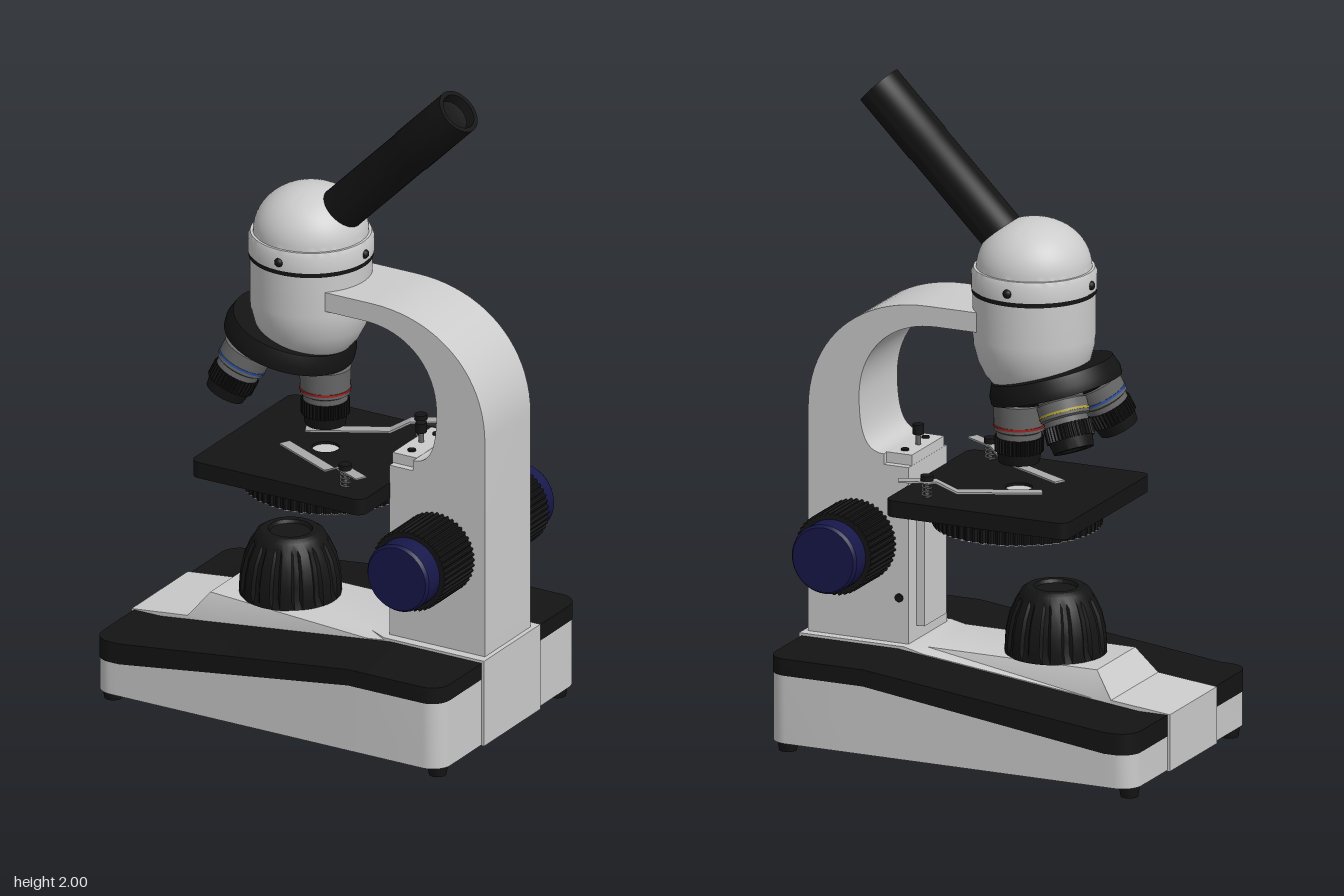
import * as THREE from 'three';
import { toCreasedNormals } from 'three/addons/utils/BufferGeometryUtils.js';

const mat = (color, side = THREE.FrontSide) => new THREE.MeshStandardMaterial({ color, side });
const GREY = mat(0xcccccc), BLACK = mat(0x141414), BLUE = mat(0x17174a), STEEL = mat(0x666666);
const CLIP = mat(0xaaaaaa, THREE.DoubleSide);

export function createModel() {
  const model = new THREE.Group();

  const add = (name, geo, material, x = 0, y = 0, z = 0, parent = model) => {
    const mesh = new THREE.Mesh(geo, material);
    mesh.name = name;
    mesh.position.set(x, y, z);
    parent.add(mesh);
    return mesh;
  };
  const box = (w, h, d) => new THREE.BoxGeometry(w, h, d);
  const cyl = (r, h, n = 24) => new THREE.CylinderGeometry(r, r, h, n);
  // profile given from bottom to top as [radius, height]
  const lathe = (pts, n = 48) =>
    toCreasedNormals(new THREE.LatheGeometry(pts.map(p => new THREE.Vector2(...p)), n), 0.6);
  const extrude = (shape, depth, curveSegments = 20) =>
    new THREE.ExtrudeGeometry(shape, { depth, bevelEnabled: false, curveSegments });
  const circleHole = (shape, r, x = 0) =>
    shape.holes.push(new THREE.Path().absarc(x, 0, r, 0, Math.PI * 2, true));
  // ribbed disc with its axis on z
  const ribbed = (r, depth, teeth, hole = 0) => {
    const pts = [];
    for (let i = 0; i < teeth * 4; i++) {
      const a = (i / (teeth * 4)) * Math.PI * 2, q = i % 4 < 2 ? r : r - 0.006;
      pts.push(new THREE.Vector2(Math.cos(a) * q, Math.sin(a) * q));
    }
    const shape = new THREE.Shape(pts);
    if (hole) circleHole(shape, hole);
    return extrude(shape, depth);
  };
  // skin over cross-sections { x, pts: [[z, y], ...] } running along +x
  const loft = sections => {
    const pos = [], n = sections[0].pts.length;
    const P = (i, j) => [sections[i].x, sections[i].pts[j % n][1], sections[i].pts[j % n][0]];
    const last = sections.length - 1;
    for (let i = 0; i < last; i++) for (let j = 0; j < n; j++) {
      const a = P(i, j), b = P(i, j + 1), c = P(i + 1, j + 1), d = P(i + 1, j);
      pos.push(...a, ...b, ...c, ...a, ...c, ...d);
    }
    for (let j = 1; j < n - 1; j++) {
      pos.push(...P(last, 0), ...P(last, j), ...P(last, j + 1));
      pos.push(...P(0, 0), ...P(0, j + 1), ...P(0, j));
    }
    const geo = new THREE.BufferGeometry();
    geo.setAttribute('position', new THREE.Float32BufferAttribute(pos, 3));
    return toCreasedNormals(geo, 0.5);
  };

  // Base: rounded footprint with a sloping black cover
  const R = 0.06, X = 0.592, xs = [-0.5, 0.28];
  for (let i = 0; i <= 8; i++) {
    const d = R * Math.cos((i / 8) * Math.PI / 2);
    xs.push(-X + R - d, X - R + d);
  }
  xs.sort((a, b) => a - b);
  const halfWidth = x => {
    const d = Math.max(0, Math.abs(x) - (X - R));
    return 0.4 - R + Math.sqrt(Math.max(0, R * R - d * d));
  };
  const slope = (x, lo, hi) => lo + (hi - lo) * THREE.MathUtils.clamp((x + 0.5) / 0.78, 0, 1);
  const coverTop = x => slope(x, 0.203, 0.294), coverLow = x => slope(x, 0.138, 0.243);
  const slab = (lo, hi, inset) => loft(xs.map(x => {
    const w = halfWidth(x) - inset;
    return { x, pts: [[w, lo(x)], [-w, lo(x)], [-w, hi(x)], [w, hi(x)]] };
  }));
  add('baseBody', slab(() => 0.035, coverLow, 0.003), GREY);
  add('baseCover', slab(coverLow, coverTop, 0), BLACK);
  // Centre strip rising into a bevelled platform: x, top height, top half width
  add('basePlatform', loft([
    [-0.6, 0.205, 0.16], [-0.41, 0.225, 0.16], [-0.35, 0.302, 0.13], [0.2, 0.302, 0.13],
    [0.26, 0.302, 0.16], [0.6, 0.302, 0.16],
  ].map(([x, y, w]) => ({
    x, pts: [[0.16, 0.032], [-0.16, 0.032], [-0.16, Math.min(y, coverTop(x) + 0.003)],
      [-w, y], [w, y], [0.16, Math.min(y, coverTop(x) + 0.003)]],
  }))), GREY);
  for (const x of [-0.555, 0.55]) for (const z of [-0.34, 0.34])
    add('foot', lathe([[0, 0], [0.026, 0], [0.031, 0.03], [0.031, 0.04], [0, 0.04]], 20), BLACK, x, 0, z);

  // Lamp housing with flutes around its side
  const lamp = new THREE.LatheGeometry([[0.15, 0], [0.15, 0.03], [0.147, 0.07], [0.136, 0.12], [0.118, 0.16],
    [0.108, 0.175], [0.1, 0.19], [0.085, 0.2], [0.065, 0.2], [0.06, 0.19], [0, 0.19]]
    .map(p => new THREE.Vector2(...p)), 112);
  const lp = lamp.attributes.position;
  for (let i = 0; i < lp.count; i++) {
    const x = lp.getX(i), y = lp.getY(i), z = lp.getZ(i);
    const inFlute = y > 0.01 && y < 0.165 && Math.cos(Math.atan2(z, x) * 14) > 0.1;
    const k = inFlute ? 0.94 : 1;
    lp.setXYZ(i, x * k, y, z * k);
  }
  add('lampHousing', toCreasedNormals(lamp, 0.5), BLACK, -0.155, 0.3, 0);

  // Curved arm and column
  const arm = new THREE.Shape();
  arm.moveTo(0.26, 0.29);
  arm.lineTo(0.585, 0.29);
  arm.lineTo(0.585, 0.98);
  arm.bezierCurveTo(0.585, 1.2, 0.42, 1.34, 0.2, 1.34);
  arm.lineTo(0.04, 1.34);
  arm.lineTo(0.04, 1.28);
  arm.lineTo(0.17, 1.28);
  arm.bezierCurveTo(0.33, 1.28, 0.42, 1.17, 0.42, 1.04);
  arm.bezierCurveTo(0.42, 0.93, 0.4, 0.872, 0.34, 0.872);
  arm.lineTo(0.34, 0.84);
  arm.lineTo(0.26, 0.84);
  add('arm', toCreasedNormals(extrude(arm, 0.26), 0.4), GREY, 0, 0, -0.13);
  add('focusRail', box(0.03, 0.38, 0.15), GREY, 0.25, 0.535, 0);
  add('columnTopPlate', box(0.082, 0.032, 0.22), GREY, 0.3, 0.857, 0);
  for (const z of [-0.07, 0.07]) add('plateScrew', cyl(0.012, 0.006, 16), BLACK, 0.3, 0.875, z);
  add('stopScrewShaft', cyl(0.008, 0.05, 12), STEEL, 0.29, 0.89, 0);
  add('stopScrewHead', cyl(0.017, 0.03, 20), BLACK, 0.29, 0.92, 0);

  // Focus knobs, mirrored to both sides
  for (const s of [1, -1]) {
    const knob = new THREE.Group();
    knob.name = 'focusKnob';
    knob.position.set(0.425, 0.6, 0);
    if (s < 0) knob.rotation.y = Math.PI;
    add('coarseKnob', ribbed(0.125, 0.17, 44), BLACK, 0, 0, 0.125, knob);
    add('fineKnob', lathe([[0.105, 0], [0.105, 0.06], [0.098, 0.07], [0, 0.07]]), BLUE, 0, 0, 0.295, knob)
      .rotation.x = Math.PI / 2;
    model.add(knob);
    add('columnScrew', cyl(0.013, 0.01, 16), BLACK, 0.29, 0.44, s * 0.13).rotation.x = Math.PI / 2;
  }

  // Stage with a light hole, glass and the ribbed disc below
  const stage = new THREE.Shape(), sx0 = -0.325, sx1 = 0.262, sz = 0.29, sr = 0.03;
  stage.absarc(sx1 - sr, sz - sr, sr, 0, Math.PI / 2);
  stage.absarc(sx0 + sr, sz - sr, sr, Math.PI / 2, Math.PI);
  stage.absarc(sx0 + sr, -sz + sr, sr, Math.PI, Math.PI * 1.5);
  stage.absarc(sx1 - sr, -sz + sr, sr, Math.PI * 1.5, Math.PI * 2);
  circleHole(stage, 0.04, -0.035);
  add('stage', extrude(stage, 0.05), BLACK, 0, 0.735, 0).rotation.x = -Math.PI / 2;
  add('stageGlass', cyl(0.041, 0.01), GREY, -0.035, 0.772, 0);
  add('diaphragmDisc', ribbed(0.25, 0.042, 60, 0.07), BLACK, -0.03, 0.678, 0).rotation.x = -Math.PI / 2;
  add('diaphragmPlate', ribbed(0.247, 0.004, 60, 0.07), GREY, -0.03, 0.674, 0).rotation.x = -Math.PI / 2;
  add('diaphragmHub', cyl(0.12, 0.03, 32), BLACK, -0.03, 0.725, 0);

  // Spring clips: bent strip, post, coil and cap
  const clipShape = new THREE.Shape();
  [[-0.42, 0.794], [-0.17, 0.798], [-0.11, 0.83], [0, 0.834], [0, 0.839], [-0.112, 0.836], [-0.172, 0.804], [-0.42, 0.8]]
    .forEach(([x, y], i) => (i ? clipShape.lineTo(x, y) : clipShape.moveTo(x, y)));
  const coil = [];
  for (let i = 0; i <= 48; i++) {
    const a = (i / 12) * Math.PI * 2;
    coil.push(new THREE.Vector3(Math.cos(a) * 0.014, i * 0.001, Math.sin(a) * 0.014));
  }
  for (const s of [1, -1]) {
    const clip = new THREE.Group();
    clip.name = 'stageClip';
    clip.position.set(0.235, 0, s * 0.25);
    clip.rotation.y = -s * 0.47;
    add('clipStrip', extrude(clipShape, 0.036), CLIP, 0, 0, -0.018, clip);
    model.add(clip);
    add('clipSpring', new THREE.TubeGeometry(new THREE.CatmullRomCurve3(coil), 72, 0.003, 5), STEEL, 0.16, 0.785, s * 0.215);
    add('clipPost', cyl(0.007, 0.06, 12), STEEL, 0.16, 0.81, s * 0.215);
    add('clipCap', cyl(0.019, 0.016, 20), BLACK, 0.16, 0.845, s * 0.215);
  }

  // Head: tapered body, dark seam, flange and dome
  const hx = -0.085;
  add('headBody', lathe([[0, 1.11], [0.12, 1.11], [0.145, 1.14], [0.165, 1.18], [0.178, 1.23], [0.18, 1.26], [0.18, 1.395], [0, 1.395]], 64), GREY, hx);
  add('headSeam', cyl(0.183, 0.014, 64), BLACK, hx, 1.396, 0);
  const dome = [[0, 1.403], [0.185, 1.403], [0.185, 1.45], [0.178, 1.465]];
  for (let i = 0; i <= 14; i++) {
    const a = (i / 14) * Math.PI / 2;
    dome.push([0.17 * Math.cos(a), 1.465 + 0.145 * Math.sin(a)]);
  }
  add('headDome', lathe(dome, 64), GREY, hx);
  for (let i = 0; i < 4; i++) {
    const a = i * Math.PI / 2;
    add('headScrew', new THREE.SphereGeometry(0.014, 16, 10), BLACK, hx + Math.sin(a) * 0.182, 1.428, Math.cos(a) * 0.182);
  }

  // Slanted eyepiece tube with a recessed lens
  const tube = add('eyepieceTube', lathe([[0, -0.05], [0.068, -0.05], [0.068, 0.34], [0.07, 0.345], [0.07, 0.568],
    [0.056, 0.568], [0.05, 0.54], [0, 0.535]]), BLACK, 0.016, 1.55, 0);
  tube.rotation.z = -Math.PI / 4;

  // Tilted turret carrying three objectives
  const turret = new THREE.Group();
  turret.name = 'turret';
  turret.position.set(-0.15, 1.13, 0);
  turret.rotation.z = -0.27;
  add('turretDisc', lathe([[0, -0.05], [0.13, -0.05], [0.17, -0.032], [0.197, -0.03], [0.197, -0.005], [0.183, 0.03], [0, 0.03]], 64), BLACK, 0, 0, 0, turret);
  [[0, 0.235, 0xa02020], [120, 0.2, 0xb0a030], [240, 0.21, 0x2a50a0]].forEach(([deg, len, color]) => {
    const spin = new THREE.Group(), lens = new THREE.Group();
    spin.rotation.y = THREE.MathUtils.degToRad(deg);
    lens.position.x = 0.118;
    lens.rotation.z = 0.27;
    lens.name = 'objective';
    spin.add(lens);
    turret.add(spin);
    const g = -len + 0.075;
    add('objectiveBarrel', lathe([[0.066, g], [0.066, g + 0.02], [0.074, g + 0.025], [0.076, -0.055], [0.068, -0.05], [0.068, 0.01], [0, 0.01]], 40), STEEL, 0, 0, 0, lens);
    add('objectiveBand', cyl(0.0765, 0.007, 40), mat(color), 0, g + 0.038, 0, lens);
    add('objectiveGrip', ribbed(0.072, 0.045, 36), BLACK, 0, g - 0.042, 0, lens).rotation.x = -Math.PI / 2;
    add('objectiveTip', lathe([[0, -len + 0.01], [0.03, -len + 0.01], [0.04, -len], [0.06, -len], [0.066, g - 0.04], [0, g - 0.04]], 40), BLACK, 0, 0, 0, lens);
  });
  model.add(turret);
  return model;
}
